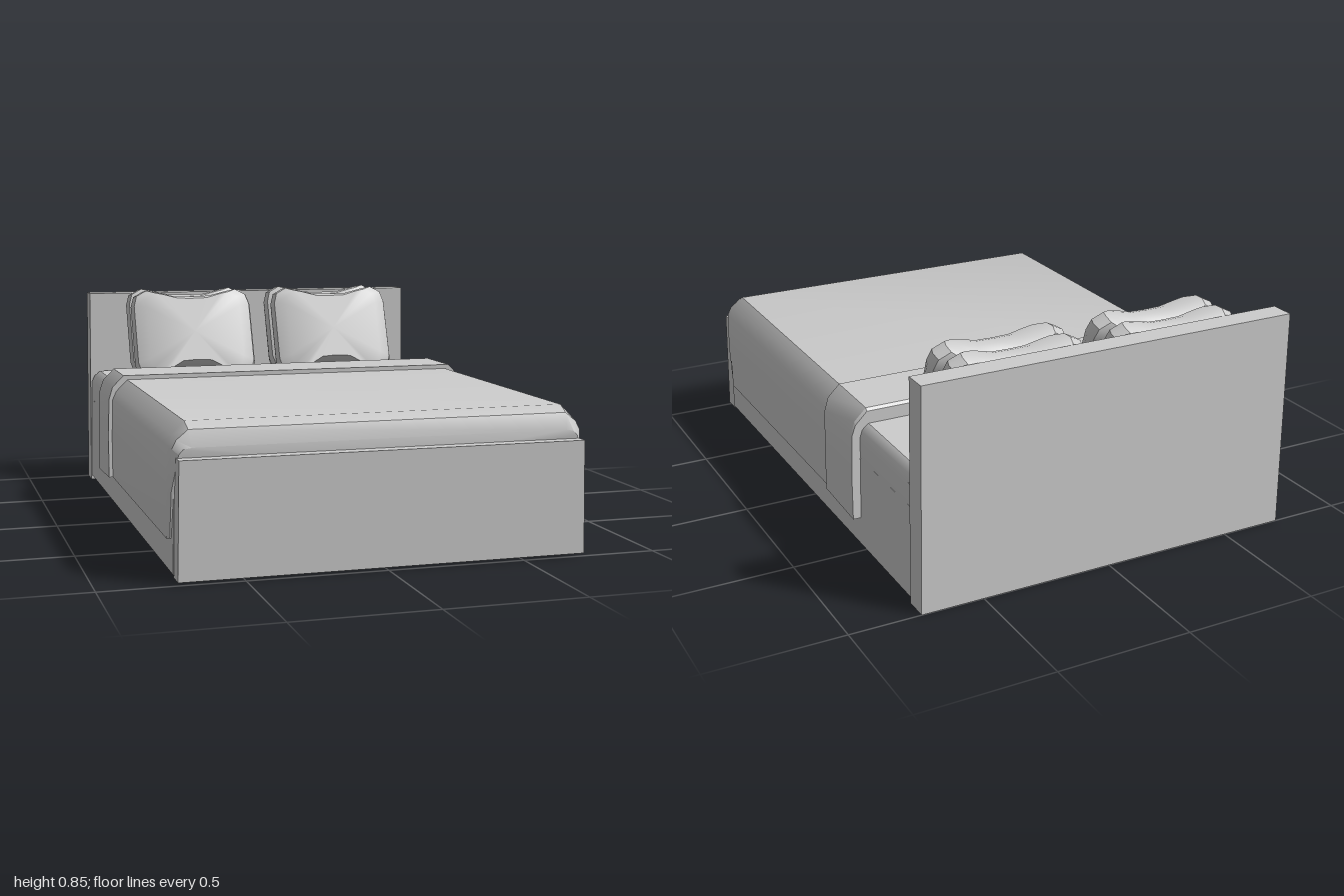
import * as THREE from 'three';
import { toCreasedNormals } from 'three/addons/utils/BufferGeometryUtils.js';

// Skin closed cross-sections (counter-clockwise, ordered towards +z) and cap both ends.
function loft(rings, crease = 0.6) {
  const n = rings[0].length, pos = rings.flat(2), index = [];
  for (let i = 0; i < rings.length - 1; i++) {
    for (let j = 0; j < n; j++) {
      const a = i * n + j, b = i * n + (j + 1) % n;
      index.push(a, b, a + n, b, b + n, a + n);
    }
  }
  [[0, true], [rings.length - 1, false]].forEach(([r, flip]) => {
    const centre = [0, 1, 2].map(k => rings[r].reduce((s, p) => s + p[k], 0) / n);
    const c = pos.length / 3;
    pos.push(...centre);
    for (let j = 0; j < n; j++) {
      const a = r * n + j, b = r * n + (j + 1) % n;
      index.push(c, flip ? b : a, flip ? a : b);
    }
  });
  const geo = new THREE.BufferGeometry();
  geo.setAttribute('position', new THREE.Float32BufferAttribute(pos, 3));
  geo.setIndex(index);
  return toCreasedNormals(geo, crease);
}

// Mirror the right half of an outline, listed bottom to top, across x = 0.
const mirrored = half => [...half, ...half.map(([x, y, z]) => [-x, y, z]).reverse()];

// Box spanning y0..y1 and z0..z1, with different half-widths at the bottom and top.
function board(wBottom, wTop, y0, y1, z0, z1) {
  const ring = z => mirrored([[wBottom, y0, z], [wTop, y1, z]]);
  return loft([ring(z0), ring(z1)]);
}

// Cover with softened top edges; lean pulls the lower part back at the foot end.
function coverRing(z, w, bottom, top, drop = 0, lean = 0) {
  return mirrored([
    [w, bottom, z - lean],
    [w, 0.30, z - lean * 0.4],
    [w - 0.005 - drop * 0.2, 0.45 - drop * 0.3, z],
    [w - 0.02 - drop * 0.2, top - 0.045 - drop * 0.5, z],
    [w - 0.065, top - drop, z],
  ]);
}

// Plump pillow with raised corners and dipped top and bottom edges.
function pillowGeometry() {
  const half = [
    [0, -0.14], [0.08, -0.145], [0.16, -0.185], [0.205, -0.2], [0.25, -0.175], [0.264, -0.13],
    [0.264, 0.13], [0.25, 0.175], [0.205, 0.2], [0.16, 0.192], [0.08, 0.172], [0, 0.17],
  ];
  const outline = [...half, ...half.slice(1, -1).map(([x, y]) => [-x, y]).reverse()];
  const sections = [[-0.055, 0.78, 0.88], [-0.028, 0.97, 0.98], [0.005, 1, 1],
    [0.033, 0.96, 0.97], [0.055, 0.78, 0.88]];
  return loft(sections.map(([z, sx, sy]) => outline.map(([x, y]) => [x * sx, y * sy, z])), 0.65);
}

export function createModel() {
  const group = new THREE.Group();
  group.name = 'bed';
  const grey = new THREE.MeshStandardMaterial({ color: 0xcccccc });
  grey.name = 'light grey';
  const add = (name, geometry) => {
    const mesh = new THREE.Mesh(geometry, grey);
    mesh.name = name;
    group.add(mesh);
    return mesh;
  };

  // Frame
  add('headboard', board(0.735, 0.725, 0, 0.828, -1, -0.91));
  add('footboard', board(0.73, 0.722, 0.01, 0.415, 0.93, 1));
  add('base', board(0.732, 0.726, 0.02, 0.36, -0.91, 0.93));

  // Mattress with bevelled upper edges
  const mattressRing = (z, top) => mirrored([
    [0.726, 0.34, z], [0.724, 0.44, z], [0.715, top - 0.02, z], [0.69, top, z],
  ]);
  add('mattress', loft([
    mattressRing(-0.908, 0.465), mattressRing(-0.885, 0.488), mattressRing(0.9, 0.488),
  ]));

  // Duvet, rounded over the foot end
  add('duvet', loft([
    coverRing(-0.47, 0.745, 0.135, 0.528),
    coverRing(0.885, 0.745, 0.135, 0.528),
    coverRing(0.935, 0.742, 0.135, 0.528, 0.022, 0.045),
    coverRing(0.957, 0.735, 0.135, 0.528, 0.08, 0.062),
  ]));

  // Folded band across the duvet
  add('duvetFold', loft([
    coverRing(-0.485, 0.76, 0.125, 0.535),
    coverRing(-0.475, 0.76, 0.125, 0.545),
    coverRing(-0.23, 0.76, 0.135, 0.545),
  ]));

  // Two leaning pillows on each side
  const geometry = pillowGeometry();
  [['left', 1], ['right', -1]].forEach(([side, s]) => {
    [['Front', -0.69], ['Back', -0.81]].forEach(([row, z]) => {
      const pillow = add(`${side}${row}Pillow`, geometry);
      pillow.position.set(s * 0.312, 0.655, z);
      pillow.rotation.x = -0.36;
    });
  });

  return group;
}
